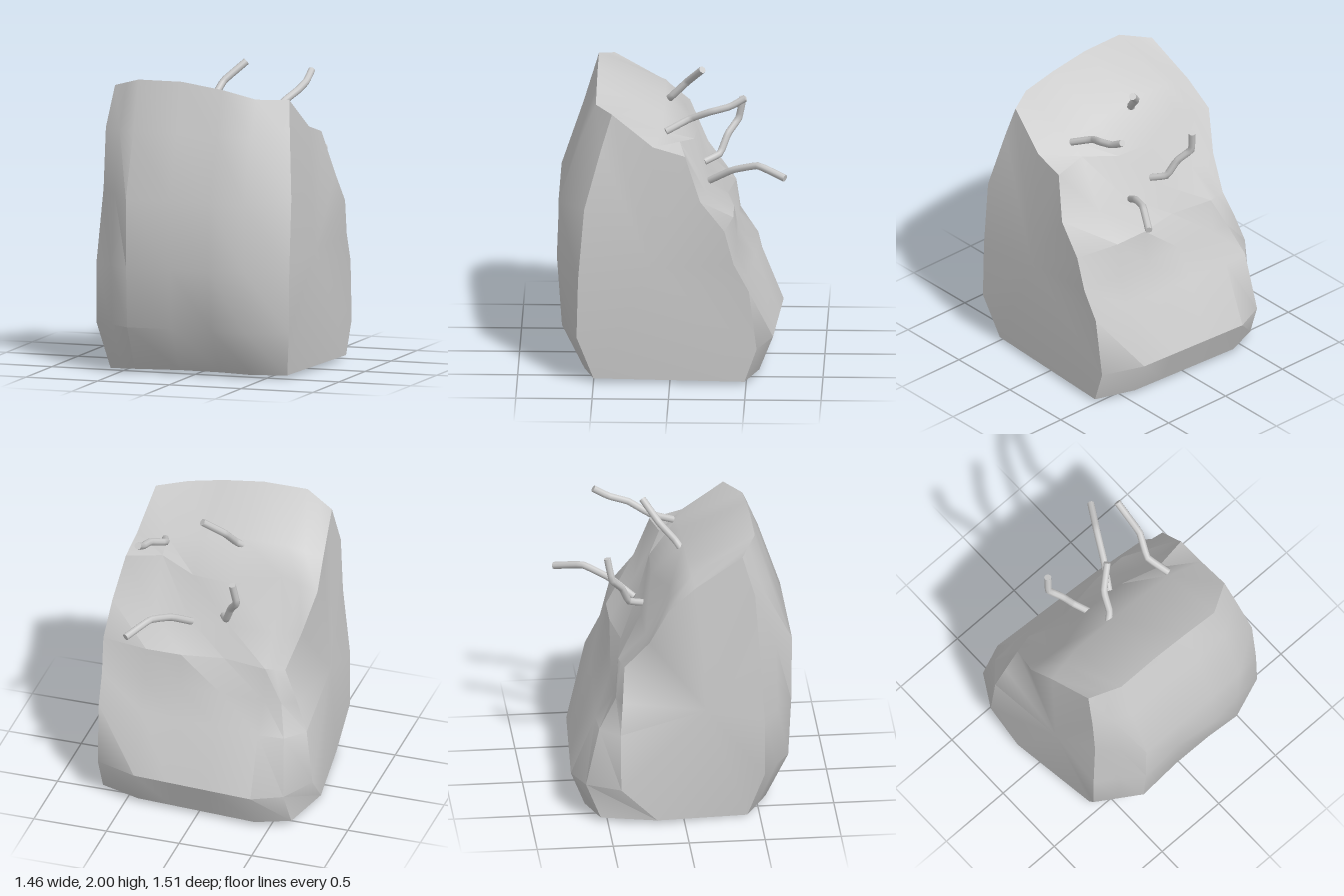
import * as THREE from 'three';
import { mergeVertices, toCreasedNormals } from 'three/addons/utils/BufferGeometryUtils.js';

// Side profiles, running from the front ridge down, under, and up the stepped back.
const MIDDLE = [ // y, z
  [1.93, 0.49], [1.6, 0.59], [1.17, 0.735], [0.72, 0.73], [0.32, 0.71], [0.025, 0.56], [0.025, -0.63],
  [0.25, -0.72], [0.65, -0.56], [0.84, -0.43], [1.07, -0.41], [1.24, -0.23], [1.52, -0.17], [1.75, 0.05],
];
const LEFT_END = [ // x, y, z at the -x end
  [-0.6, 1.87, 0.39], [-0.635, 1.6, 0.47], [-0.64, 1.2, 0.5], [-0.68, 0.7, 0.53], [-0.68, 0.32, 0.53],
  [-0.62, 0, 0.42], [-0.71, 0.03, -0.18], [-0.73, 0.27, -0.42], [-0.69, 0.65, -0.42], [-0.62, 0.85, -0.4],
  [-0.53, 1.07, -0.38], [-0.59, 1.27, -0.22], [-0.66, 1.53, -0.1], [-0.64, 1.68, 0.08],
];
const RIGHT_END = [ // x, y, z at the +x end
  [0.61, 1.83, 0.38], [0.64, 1.6, 0.45], [0.69, 1.2, 0.56], [0.69, 0.72, 0.6], [0.69, 0.32, 0.61],
  [0.64, 0.025, 0.5], [0.69, 0.025, -0.49], [0.7, 0.25, -0.57], [0.71, 0.65, -0.52], [0.72, 0.84, -0.42],
  [0.73, 1.07, -0.36], [0.72, 1.27, -0.2], [0.66, 1.56, -0.1], [0.65, 1.62, 0.11],
];

// Middle profile at x: uneven front and ledges, crest falls towards +x.
function middleRing(x) {
  const bulge = 1 - (x / 0.4) ** 2;
  return MIDDLE.map(([y, z], i) => {
    const p = [x, y, z];
    if (i === 0 || i === 13) p[1] -= 0.22 * Math.max(0, x);
    if (i === 3) p[2] += 0.15 * x * bulge;
    if (i === 4) p[2] -= 0.02 * bulge;
    if (i === 5) p[2] -= 0.05 * bulge;
    if (i >= 6 && i <= 8) p[2] += 0.06 * (x + 0.4);
    if (i === 10 && x < 0) p[2] += 0.05 * bulge;
    if (i === 12) {
      p[1] += 0.06 * (1 - bulge);
      p[2] += 0.1 * (1 - bulge);
    }
    return p;
  });
}

// Rounded corner ring between the -x end and the middle.
function cornerRing(inner) {
  const push = { 6: 0.14, 7: 0.07, 8: 0.06, 9: 0.02 };
  return LEFT_END.map((p, i) => {
    const out = push[i] ?? 0;
    const [x, y, z] = p.map((v, k) => (v + inner[i][k]) / 2);
    return [x - out * 0.5, y, z - out];
  });
}

function rockGeometry() {
  const mids = [-0.4, -0.1, 0.18, 0.42].map(middleRing);
  const rings = [LEFT_END, cornerRing(mids[0]), ...mids, RIGHT_END];
  const n = MIDDLE.length;
  const positions = rings.flat(2);
  const index = [];
  for (let s = 0; s < rings.length - 1; s++) {
    for (let i = 0; i < n; i++) {
      const j = (i + 1) % n;
      const a = s * n + i, b = s * n + j, c = b + n, d = a + n;
      index.push(a, b, c, a, c, d);
    }
  }
  // End faces as fans around a centre point
  const leftCentre = positions.length / 3;
  positions.push(-0.67, 0.8, 0.15, 0.7, 0.8, 0.12);
  const last = (rings.length - 1) * n;
  for (let i = 0; i < n; i++) {
    const j = (i + 1) % n;
    index.push(leftCentre, j, i, leftCentre + 1, last + i, last + j);
  }
  const geometry = new THREE.BufferGeometry();
  geometry.setAttribute('position', new THREE.Float32BufferAttribute(positions, 3));
  geometry.setIndex(index);
  return toCreasedNormals(mergeVertices(geometry), 0.7);
}

// Bent twig with closed ends
function makeRoot(points, material) {
  const root = new THREE.Group();
  const path = points.map((p) => new THREE.Vector3(...p));
  const curve = new THREE.CatmullRomCurve3(path, false, 'catmullrom', 0.15);
  const radius = 0.024;
  const stem = new THREE.Mesh(new THREE.TubeGeometry(curve, 14, radius, 8), material);
  stem.name = 'rootStem';
  root.add(stem);
  for (const t of [0, 1]) {
    const cap = new THREE.Mesh(new THREE.CircleGeometry(radius, 8), material);
    const out = curve.getTangentAt(t).multiplyScalar(t ? 1 : -1);
    cap.position.copy(curve.getPointAt(t));
    cap.quaternion.setFromUnitVectors(new THREE.Vector3(0, 0, 1), out);
    cap.name = 'rootEnd';
    root.add(cap);
  }
  return root;
}

export function createModel() {
  const model = new THREE.Group();
  model.name = 'rockWithRoots';
  const material = new THREE.MeshStandardMaterial({ color: 0xcccccc });

  const rock = new THREE.Mesh(rockGeometry(), material);
  rock.name = 'rock';
  model.add(rock);

  const roots = {
    lowerRootLeft: [[0.16, 1.24, -0.25], [0.25, 1.34, -0.4], [0.34, 1.4, -0.57], [0.45, 1.35, -0.75]],
    upperRootLeft: [[0.43, 1.66, 0.03], [0.38, 1.73, -0.12], [0.44, 1.8, -0.26], [0.45, 1.84, -0.39], [0.45, 1.9, -0.49]],
    upperRootRight: [[-0.11, 1.7, 0.04], [-0.06, 1.75, 0], [-0.02, 1.86, -0.1], [0.1, 1.98, -0.2]],
    lowerRootRight: [[-0.05, 1.3, -0.21], [-0.1, 1.34, -0.31], [-0.15, 1.46, -0.36], [-0.21, 1.55, -0.43], [-0.19, 1.7, -0.46]],
  };
  for (const [name, points] of Object.entries(roots)) {
    const root = makeRoot(points, material);
    root.name = name;
    model.add(root);
  }
  return model;
}
